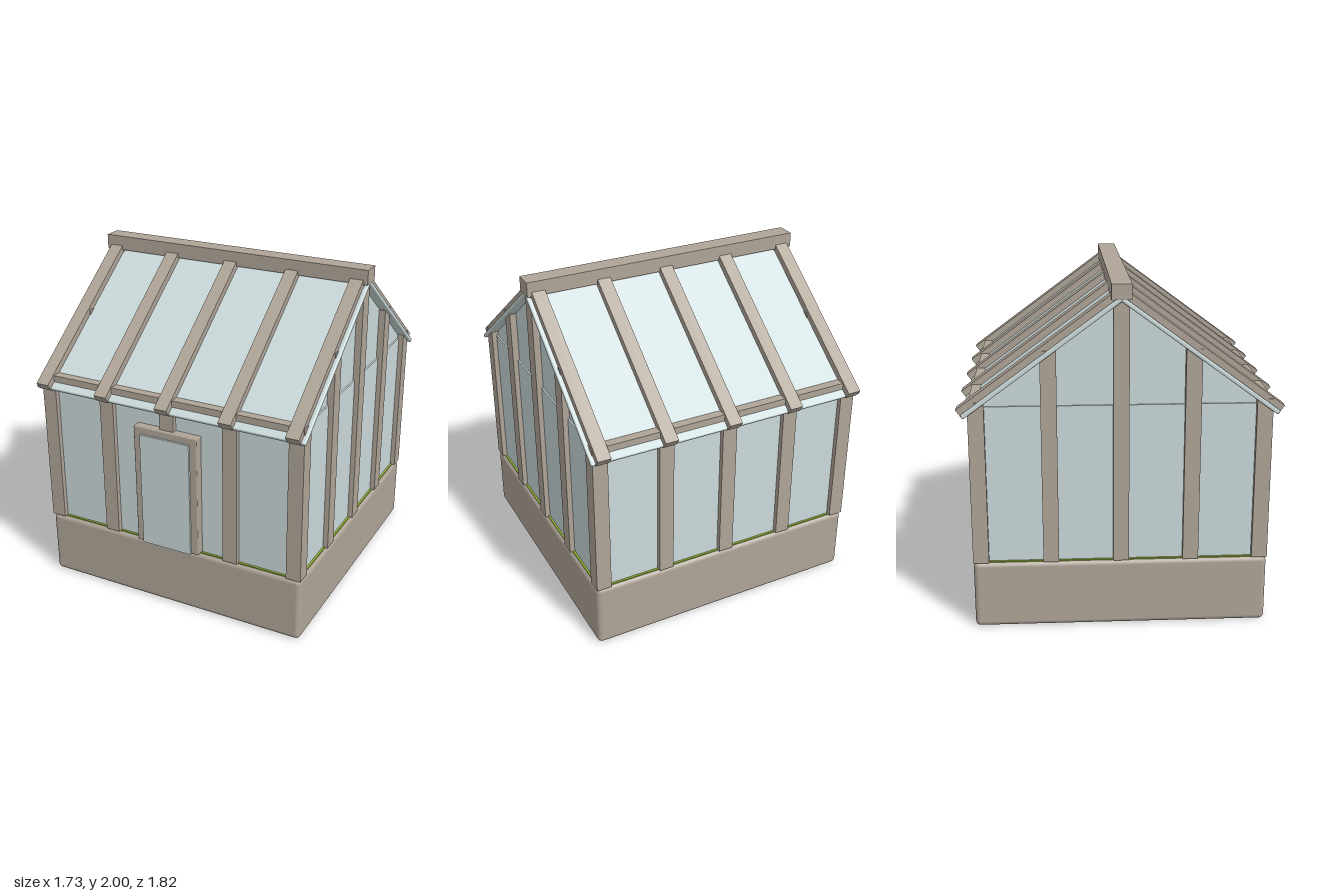
import * as THREE from 'three';
import { RoundedBoxGeometry } from 'three/addons/geometries/RoundedBoxGeometry.js';

export function createModel() {
  const timber = new THREE.MeshStandardMaterial({ color: 0xafa598 });
  timber.name = 'timber';
  const glass = new THREE.MeshStandardMaterial({ color: 0xcbd9da });
  glass.name = 'glass';
  const grass = new THREE.MeshStandardMaterial({ color: 0x8fae35 });
  grass.name = 'grass';

  const model = new THREE.Group();
  model.name = 'greenhouse';

  function add(parent, name, geometry, material) {
    const mesh = new THREE.Mesh(geometry, material);
    mesh.name = name;
    parent.add(mesh);
    return mesh;
  }
  // Box given by its limits on each axis
  function block(parent, name, material, [x0, x1], [y0, y1], [z0, z1], radius = 0) {
    const size = [x1 - x0, y1 - y0, z1 - z0];
    const geometry = radius
      ? new RoundedBoxGeometry(...size, 3, radius)
      : new THREE.BoxGeometry(...size);
    geometry.translate((x0 + x1) / 2, (y0 + y1) / 2, (z0 + z1) / 2);
    return add(parent, name, geometry, material);
  }

  // Plinth with a grass floor
  block(model, 'base', timber, [-0.845, 0.845], [0, 0.4], [-0.845, 0.845], 0.03);
  block(model, 'grassFloor', grass, [-0.828, 0.828], [0.395, 0.403], [-0.828, 0.828]);

  // Glass walls and gable
  block(model, 'wallGlass', glass, [-0.815, 0.815], [0.4, 1.32], [-0.815, 0.815]);
  const gableShape = new THREE.Shape([
    new THREE.Vector2(-0.8, 1.32), new THREE.Vector2(0.8, 1.32), new THREE.Vector2(0, 1.91),
  ]);
  const gable = new THREE.ExtrudeGeometry(gableShape, { depth: 1.61, bevelEnabled: false });
  gable.translate(0, 0, -0.805).rotateY(Math.PI / 2);
  add(model, 'gableGlass', gable, glass);

  // Posts around the walls; those in the gables rise to the roof
  const spots = [-0.8, -0.4, 0, 0.4, 0.8];
  const h = 0.045;
  function post(name, x, z, top) {
    block(model, name, timber, [x - h, x + h], [0.4, top], [z - h, z + h]);
  }
  for (const side of [-1, 1]) {
    for (const x of spots) post(side > 0 ? 'frontPost' : 'backPost', x, side * 0.8, 1.29);
    for (const [z, top] of [[-0.4, 1.635], [0, 1.93], [0.4, 1.635]]) {
      post(side > 0 ? 'leftPost' : 'rightPost', side * 0.8, z, top);
    }
    // Eaves beam
    block(model, 'eavesBeam', timber, [-0.845, 0.845], [1.275, 1.35],
      side > 0 ? [0.755, 0.845] : [-0.845, -0.755]);
  }

  // Door: frame with a pane standing slightly proud
  const door = new THREE.Group();
  door.name = 'door';
  model.add(door);
  block(door, 'doorFrame', timber, [-0.205, 0.205], [0.403, 1.155], [0.8, 0.868], 0.006);
  block(door, 'doorPane', glass, [-0.16, 0.16], [0.403, 1.112], [0.82, 0.88]);

  // Two roof slopes, built flat and tilted
  for (const turn of [0, Math.PI]) {
    const half = new THREE.Group();
    half.name = turn ? 'backRoof' : 'frontRoof';
    half.rotation.y = turn;
    const slope = new THREE.Group();
    slope.name = 'roofSlope';
    slope.position.y = 1.912;
    slope.rotation.x = 0.635;
    block(slope, 'roofGlass', glass, [-0.865, 0.865], [-0.008, 0.017], [0, 1.085], 0.008);
    for (const x of spots) {
      block(slope, 'rafter', timber, [x - 0.04, x + 0.04], [0, 0.055], [0, 1.089]);
    }
    half.add(slope);
    model.add(half);
  }

  // Ridge beam
  block(model, 'ridgeBeam', timber, [-0.867, 0.867], [1.913, 2], [-0.056, 0.056]);

  return model;
}
